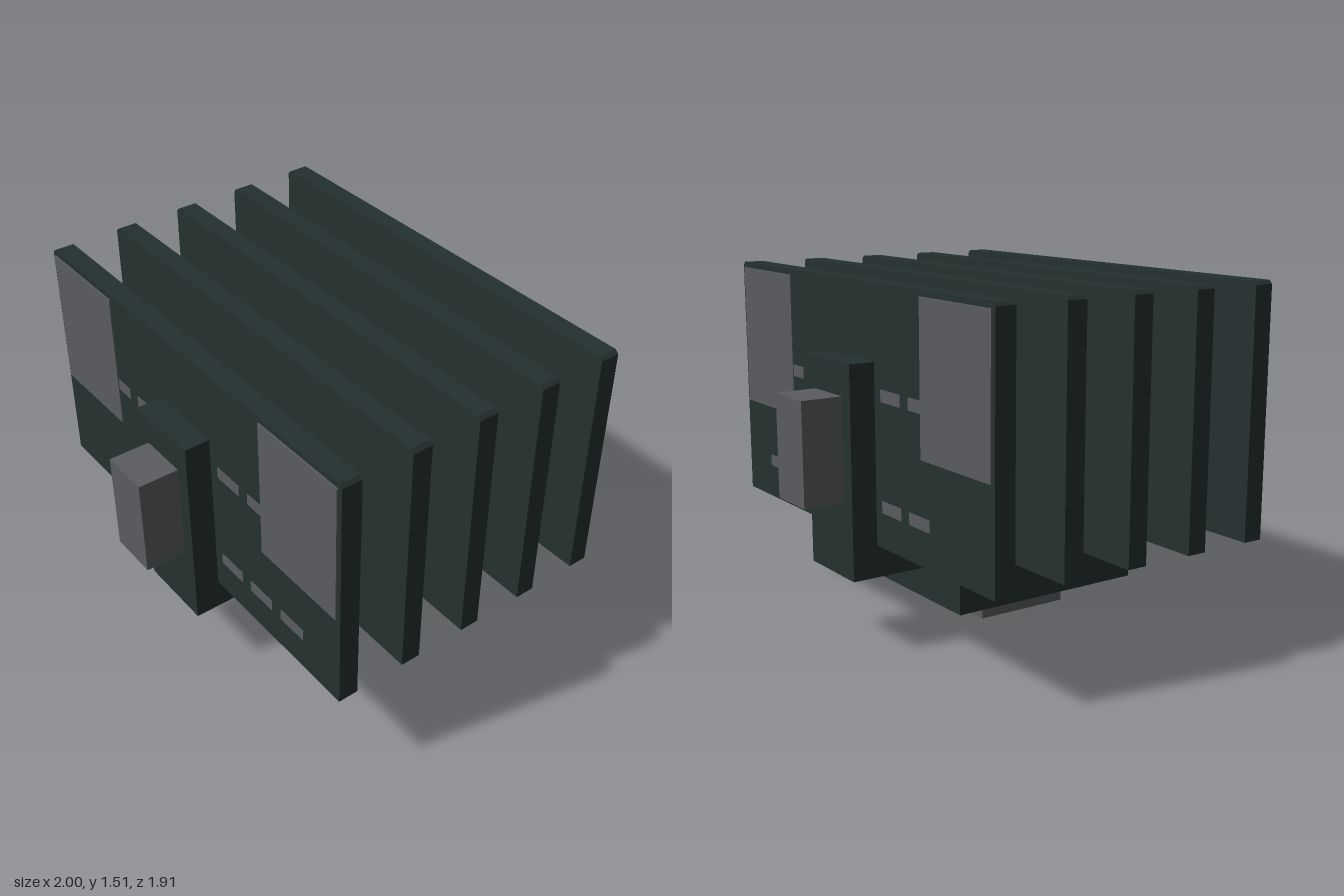
import * as THREE from 'three';

export function createModel() {
  const model = new THREE.Group();
  const darkShell = new THREE.MeshStandardMaterial({ color: 0x243130 });
  const greyMetal = new THREE.MeshStandardMaterial({ color: 0x5a5c5f });
  const orangeLight = new THREE.MeshStandardMaterial({ color: 0xb9661f });
  darkShell.name = 'dark shell';
  greyMetal.name = 'grey metal';
  orangeLight.name = 'orange light';

  // Box given by its limits on each axis
  function block(name, material, [x0, x1], [y0, y1], [z0, z1]) {
    const mesh = new THREE.Mesh(new THREE.BoxGeometry(x1 - x0, y1 - y0, z1 - z0), material);
    mesh.position.set((x0 + x1) / 2, (y0 + y1) / 2, (z0 + z1) / 2);
    mesh.name = name;
    model.add(mesh);
  }

  // Central spine, base and the connector below it
  block('spine', darkShell, [-0.175, 0.175], [0.315, 1.2], [-0.777, 0.777]);
  block('base', darkShell, [-0.442, 0.442], [0.185, 0.45], [-0.443, 0.443]);
  block('bottomConnector', greyMetal, [-0.11, 0.11], [0, 0.185], [-0.105, 0.33]);
  block('indicatorLight', orangeLight, [0.165, 0.225], [0.475, 0.55], [0.043, 0.213]);

  // Five upright plates with clipped top corners
  const outline = new THREE.Shape([
    [-1, 0.45], [1, 0.45], [1, 1.497], [0.985, 1.512], [-0.985, 1.512], [-1, 1.497],
  ].map(([x, y]) => new THREE.Vector2(x, y)));
  const plateGeometry = new THREE.ExtrudeGeometry(outline, { depth: 0.088, bevelEnabled: false });
  plateGeometry.translate(0, 0, -0.044);
  for (let i = -2; i <= 2; i++) {
    const plate = new THREE.Mesh(plateGeometry, darkShell);
    plate.position.z = i * 0.311;
    plate.name = 'plate';
    model.add(plate);
  }

  // End connectors, corner panels and slots, repeated front and back
  const face = 0.666;
  for (const side of [1, -1]) {
    const depth = (a, b) => (side > 0 ? [a, b] : [-b, -a]);
    block('endConnector', greyMetal, [-0.11, 0.11], [0.632, 1.065], depth(0.777, 0.955));
    block('cornerPanel', greyMetal, [0.52, 0.98], [0.873, 1.488], depth(face, face + 0.007));
    block('cornerPanel', greyMetal, [-0.983, -0.523], [0.873, 1.488], depth(face, face + 0.007));
    for (const y of [0.622, 1.073]) {
      for (const x of [-0.503, -0.298, 0.298, 0.5, 0.703]) {
        block('slot', greyMetal, [x - 0.073, x + 0.073], [y - 0.025, y + 0.025], depth(face, face + 0.003));
      }
    }
  }
  return model;
}
